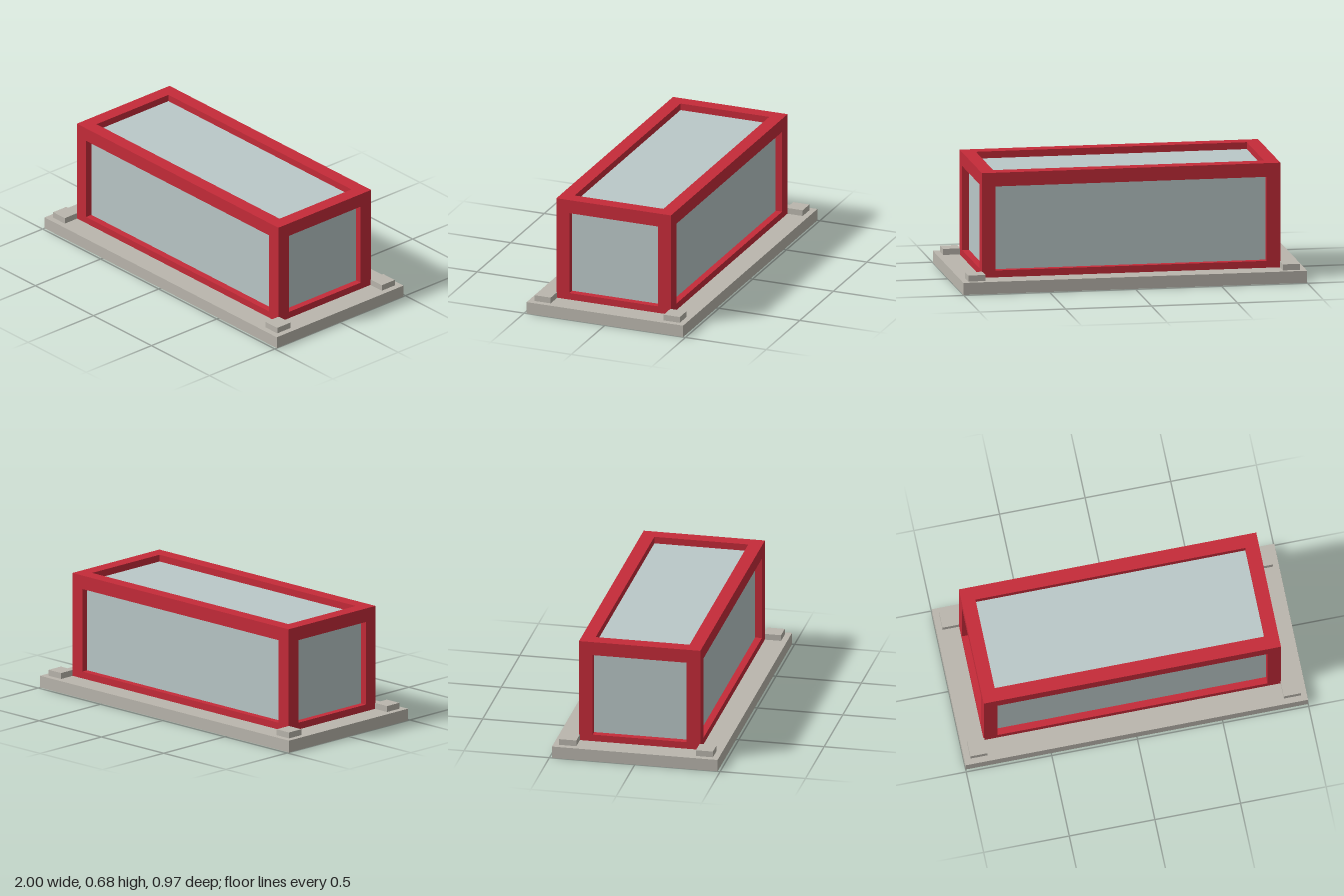
import * as THREE from 'three';

export function createModel() {
  const model = new THREE.Group();
  const material = (name, color) => Object.assign(new THREE.MeshStandardMaterial({ color }), { name });
  const stone = material('stone grey', 0xbab6ad);
  const red = material('frame red', 0xc52b39);
  const glass = material('pale glass', 0xbac8c8);

  const box = (parent, name, mat, size, position) => {
    const mesh = new THREE.Mesh(new THREE.BoxGeometry(...size), mat);
    mesh.name = name;
    mesh.position.set(...position);
    parent.add(mesh);
  };

  // Base slab
  const baseTop = 0.07;
  box(model, 'baseSlab', stone, [2, baseTop, 0.97], [0, baseTop / 2, 0]);

  // Square-section frame, its lower bars sunk into the slab
  const bar = 0.08, halfX = 0.868, halfZ = 0.355, low = 0.03, top = 0.68;
  const height = top - low, midY = (top + low) / 2;
  const barX = halfX - bar / 2, barZ = halfZ - bar / 2;
  const frame = new THREE.Group();
  frame.name = 'frame';
  model.add(frame);

  for (const a of [-1, 1]) {
    for (const b of [-1, 1]) {
      const barY = midY + b * (height - bar) / 2;
      box(frame, 'cornerPost', red, [bar, height, bar], [a * barX, midY, b * barZ]);
      box(frame, 'longRail', red, [2 * (halfX - bar), bar, bar], [0, barY, a * barZ]);
      box(frame, 'crossRail', red, [bar, bar, 2 * (halfZ - bar)], [a * barX, barY, 0]);
      // Small pads at the slab corners
      box(model, 'cornerPad', stone, [0.1, 0.035, 0.1], [a * 0.915, baseTop + 0.0175, b * 0.4]);
    }
  }

  // Glass body, recessed to the middle of the bars
  box(model, 'glassBody', glass, [2 * barX, height - bar, 2 * barZ], [0, midY, 0]);

  return model;
}
